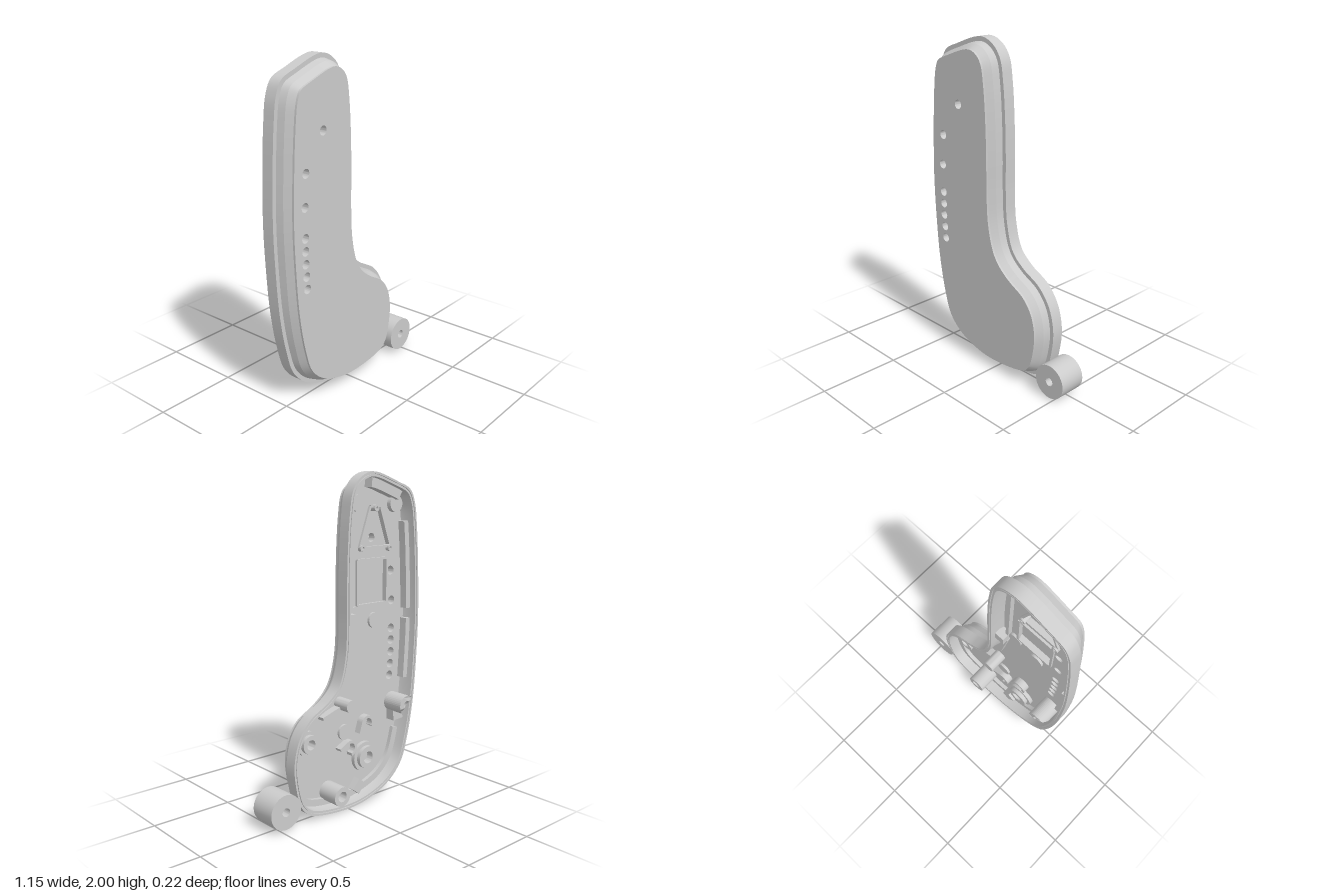
import * as THREE from 'three';
import { toCreasedNormals } from 'three/addons/utils/BufferGeometryUtils.js';

const mat = new THREE.MeshStandardMaterial({ color: 0xcccccc, side: THREE.DoubleSide });
const V = (x, y) => new THREE.Vector2(x, y);

// Outer outline, clockwise from the top
const OUTLINE = [
  [-0.18, 2.0], [-0.085, 1.965], [-0.03, 1.895], [-0.005, 1.76], [0.01, 1.55], [0.015, 1.34],
  [0.015, 1.13], [0.027, 0.94], [0.075, 0.78], [0.16, 0.70], [0.29, 0.625], [0.37, 0.525],
  [0.408, 0.385], [0.40, 0.25], [0.36, 0.11], [0.30, 0.05], [0.2, 0.02], [-0.03, 0.003],
  [-0.175, 0.025], [-0.335, 0.09], [-0.445, 0.20], [-0.50, 0.36], [-0.545, 0.6], [-0.57, 0.915],
  [-0.577, 1.15], [-0.567, 1.445], [-0.55, 1.68], [-0.53, 1.815], [-0.49, 1.895], [-0.39, 1.94],
];
const N = 320;
const outer = new THREE.CatmullRomCurve3(OUTLINE.map(([x, y]) => new THREE.Vector3(x, y, 0)), true)
  .getSpacedPoints(N).slice(0, N).map((p) => V(p.x, p.y)).reverse();

// Move the outline inwards in small steps, relaxing it so corners stay clean
function inset(d) {
  let pts = outer;
  const steps = Math.ceil(d / 0.01);
  for (let s = 0; s < steps; s++) {
    const moved = pts.map((p, i) => {
      const t = pts[(i + 1) % N].clone().sub(pts[(i + N - 1) % N]).normalize();
      return V(p.x - (t.y * d) / steps, p.y + (t.x * d) / steps);
    });
    pts = moved.map((p, i) => V(
      p.x * 0.5 + 0.25 * (moved[(i + 1) % N].x + moved[(i + N - 1) % N].x),
      p.y * 0.5 + 0.25 * (moved[(i + 1) % N].y + moved[(i + N - 1) % N].y)));
  }
  return pts;
}

// Skin rings given as [inset, z]
function loft(profile) {
  const pos = [], idx = [];
  profile.forEach(([d, z]) => inset(d).forEach((p) => pos.push(p.x, p.y, z)));
  for (let j = 0; j < profile.length - 1; j++) {
    for (let i = 0; i < N; i++) {
      const k = (i + 1) % N, a = j * N + i, b = j * N + k, c = b + N, e = a + N;
      idx.push(a, e, c, a, c, b);
    }
  }
  const g = new THREE.BufferGeometry();
  g.setAttribute('position', new THREE.Float32BufferAttribute(pos, 3));
  g.setIndex(idx);
  return toCreasedNormals(g, 0.27);
}

function circle(x, y, r) {
  return new THREE.Path().absarc(x, y, r, 0, Math.PI * 2, true);
}

function slab(shape, z0, z1) {
  const g = new THREE.ExtrudeGeometry(shape, { depth: z1 - z0, bevelEnabled: false, curveSegments: 18 });
  g.translate(0, 0, z0);
  return toCreasedNormals(g, 0.5);
}

// Round post, optionally bored through
function post(x, y, r, hole, z0, z1) {
  const s = new THREE.Shape().absarc(x, y, r, 0, Math.PI * 2, false);
  if (hole) s.holes.push(circle(x, y, hole));
  return slab(s, z0, z1);
}

// Straight rib between two points
function rib(a, b, w, z0, z1) {
  const [p, q] = [V(...a), V(...b)];
  const t = q.clone().sub(p).normalize().multiplyScalar(w / 2), n = V(-t.y, t.x);
  return slab(new THREE.Shape([p.clone().sub(n), q.clone().sub(n), q.clone().add(n), p.clone().add(n)]), z0, z1);
}

// Ledge following the wall wherever the test holds
function ledge(test, d0, d1, z0, z1) {
  const start = outer.findIndex((p, i) => test(p) && !test(outer[(i + N - 1) % N]));
  const ids = [];
  for (let i = start; ids.length < N && test(outer[i % N]); i++) ids.push(i % N);
  const A = inset(d0), B = inset(d1);
  return slab(new THREE.Shape([...ids.map((i) => A[i]), ...ids.reverse().map((i) => B[i])]), z0, z1);
}

export function createModel() {
  const model = new THREE.Group();
  const add = (name, g) => {
    const m = new THREE.Mesh(g, mat);
    m.name = name;
    model.add(m);
  };
  const FLOOR = 0.03, RECESS = 0.055;

  // Hollow shell: stepped chamfered outside, grooved rim, inner wall
  add('shell', loft([
    [0.06, 0.108], [0.06, 0.095], [0.035, 0.055], [0.025, 0.012], [0, 0.012], [0, -0.062],
    [0.012, -0.062], [0.012, -0.054], [0.017, -0.054], [0.017, -0.062], [0.028, -0.062],
    [0.032, 0], [0.042, FLOOR],
  ]));

  // Face plate and inner floor share the row of holes; the floor has two shallow recesses
  const face = new THREE.Shape(inset(0.06)), floor = new THREE.Shape(inset(0.042));
  [[-0.42, 1.41], [-0.43, 1.225], [-0.43, 1.05], [-0.43, 0.975], [-0.43, 0.9],
    [-0.425, 0.825], [-0.42, 0.75]].forEach(([x, y]) => {
    face.holes.push(circle(x, y, 0.027));
    floor.holes.push(circle(x, y, 0.027));
  });
  face.holes.push(circle(-0.28, 1.615, 0.027));
  const recesses = [
    [[-0.14, 1.22], [-0.38, 1.22], [-0.38, 1.49], [-0.14, 1.49]],
    [[-0.155, 1.56], [-0.405, 1.56], [-0.32, 1.8], [-0.24, 1.8]],
  ];
  recesses.forEach((r) => floor.holes.push(new THREE.Path(r.map(([x, y]) => V(x, y)))));
  add('facePlate', slab(face, RECESS, 0.108));
  add('innerFloor', slab(floor, FLOOR, RECESS));

  // Thin raised lips round both recesses
  recesses.forEach((r) => r.forEach((p, i) =>
    add('recessLip', rib(p, r[(i + 1) % 4], 0.014, 0.016, FLOOR + 0.005))));
  [[-0.28, 1.79], [-0.17, 1.56], [-0.395, 1.55]].forEach(([x, y]) =>
    add('locatingPin', post(x, y, 0.02, 0.009, 0.005, RECESS)));

  // Separate round spacer beside the foot
  add('spacer', post(0.472, 0.117, 0.105, 0.026, -0.062, 0.108));

  // Tall bosses
  add('footBoss', post(0.092, 0.12, 0.06, 0.032, -0.112, FLOOR));
  add('innerBoss', post(-0.003, 0.65, 0.038, 0, -0.085, FLOOR));
  const cut = post(-0.44, 0.58, 0.06, 0.026, -0.112, FLOOR);
  const p = cut.attributes.position;
  for (let i = 0; i < p.count; i++) { // slanted tip towards the outer wall
    if (p.getZ(i) < 0) {
      const lean = -((p.getX(i) + 0.44) + (p.getY(i) - 0.58)) / Math.SQRT2;
      p.setZ(i, -0.112 + Math.max(0, lean) * 1.2);
    }
  }
  cut.computeVertexNormals();
  add('slantedBoss', cut);

  // Low bearing rings with collars
  [[-0.2, 0.27, 0.095, -0.02], [0.26, 0.46, 0.075, -0.03]].forEach(([x, y, r, top]) => {
    add('bearingBase', post(x, y, r, r * 0.55, top + 0.025, FLOOR));
    add('bearingCollar', post(x, y, r * 0.75, r * 0.4, top, FLOOR));
  });

  // Flat pads on the floor
  [[-0.14, 1.82], [-0.12, 1.17], [-0.28, 1.12], [-0.04, 0.46]].forEach(([x, y]) =>
    add('floorPad', post(x, y, 0.048, 0, 0.015, FLOOR)));

  // Long rails and catch block by the inner edge
  add('rail', rib([-0.085, 1.8], [-0.075, 1.2], 0.02, 0.0, FLOOR));
  add('lowerRail', rib([-0.07, 1.1], [-0.02, 0.82], 0.02, 0.0, FLOOR));
  add('catchBlock', rib([-0.08, 1.15], [-0.018, 1.15], 0.07, -0.035, FLOOR));
  add('innerBossWeb', rib([0.03, 0.63], [0.16, 0.59], 0.02, -0.02, FLOOR));

  // Hooks in the foot: a half ring with a straight arm
  [[-0.2, 0.49, 0.3], [-0.06, 0.36, 1.1]].forEach(([x, y, a]) => {
    const s = new THREE.Shape();
    s.absarc(x, y, 0.05, a, a + Math.PI * 1.1, false);
    s.absarc(x, y, 0.032, a + Math.PI * 1.1, a, true);
    add('hook', slab(s, -0.015, FLOOR));
    const tip = [x + 0.041 * Math.cos(a), y + 0.041 * Math.sin(a)];
    add('hookArm', rib(tip, [tip[0] + 0.07 * Math.sin(a), tip[1] - 0.07 * Math.cos(a)], 0.018, -0.015, FLOOR));
  });

  // Ledges hugging the walls
  add('footLedge', ledge((q) => q.y < 0.4, 0.031, 0.075, 0.005, FLOOR));
  add('upperSideLedge', ledge((q) => q.x < -0.4 && q.y > 1.17 && q.y < 1.72, 0.03, 0.065, -0.02, FLOOR));
  add('lowerSideLedge', ledge((q) => q.x < -0.4 && q.y > 0.72 && q.y < 1.12, 0.03, 0.065, -0.02, FLOOR));
  add('topBlock', ledge((q) => q.y > 1.91 && q.x < -0.2, 0.03, 0.085, -0.03, FLOOR));
  add('cornerPost', post(-0.435, 1.81, 0.05, 0, 0.0, FLOOR));

  // Short webs bracing the lower bosses
  add('slantedBossWeb', rib([-0.44, 0.55], [-0.445, 0.47], 0.08, -0.03, FLOOR));
  add('footWeb', rib([-0.1, 0.07], [-0.15, 0.13], 0.06, -0.02, FLOOR));

  return model;
}
